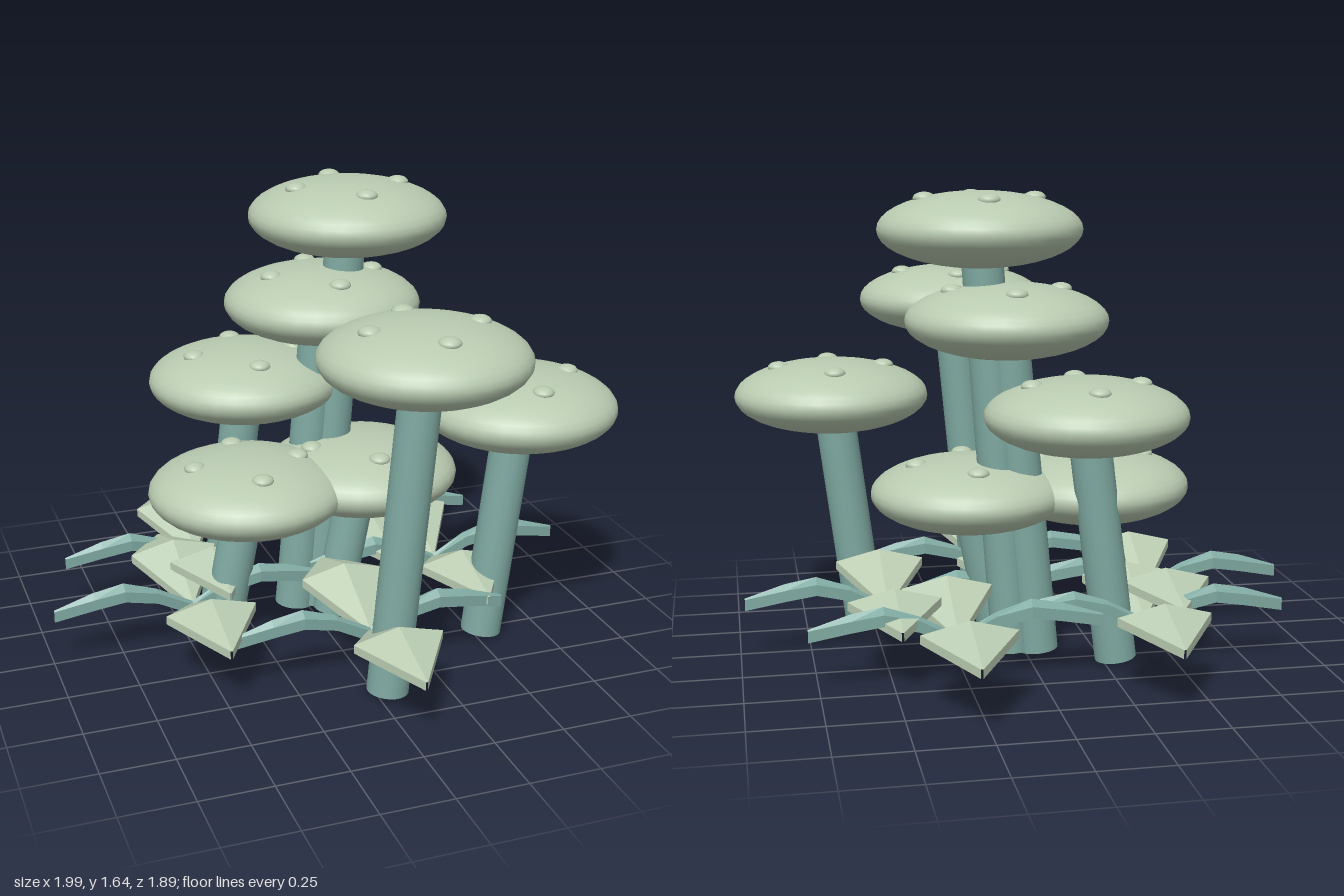
import * as THREE from 'three';

const pale = new THREE.MeshStandardMaterial({ color: 0xb9cbb1 });
pale.name = 'paleSage';
const teal = new THREE.MeshStandardMaterial({ color: 0x7fa9a1 });
teal.name = 'dustyTeal';
// faceted versions share the same colours
const paleFlat = new THREE.MeshStandardMaterial({ color: 0xb9cbb1, flatShading: true });
paleFlat.name = 'paleSageLeaf';
const tealFlat = new THREE.MeshStandardMaterial({ color: 0x7fa9a1, flatShading: true });
tealFlat.name = 'dustyTealLeaf';

// cap centres: x, y, z
const CAPS = [
  [0.155, 1.502, -0.145], [0.15, 1.19, 0.585], [0.065, 1.19, -0.16], [0.64, 0.875, 0.285],
  [-0.185, 0.875, -0.31], [-0.275, 0.565, 0], [0.18, 0.565, -0.055],
];
// leaf cluster centres: x, z
const CLUSTERS = [[0.285, -0.45], [-0.375, -0.39], [0.482, -0.055], [-0.495, 0.025], [0.035, 0.43]];

const CAP_R = 0.353, CAP_H = 0.131, LEAN = 0.11;

function add(parent, name, geometry, material) {
  const mesh = new THREE.Mesh(geometry, material);
  mesh.name = name;
  parent.add(mesh);
  return mesh;
}

// Bent, ridged leaf running along +z: sections of [z, ridge height, edge height, half width]
function leafGeometry(sections, thickness) {
  const pos = [], index = [];
  for (const [z, ridge, edge, w] of sections) {
    const t = thickness;
    pos.push(-w, edge, z, 0, ridge, z, w, edge, z, w, edge - t, z, 0, ridge - t, z, -w, edge - t, z);
  }
  for (let i = 0; i < sections.length - 1; i++) {
    for (let j = 0; j < 6; j++) {
      const a = i * 6 + j, b = i * 6 + (j + 1) % 6;
      index.push(a, a + 6, b + 6, a, b + 6, b);
    }
  }
  const g = new THREE.BufferGeometry();
  g.setAttribute('position', new THREE.Float32BufferAttribute(pos, 3));
  g.setIndex(index);
  g.computeVertexNormals();
  return g;
}

// Mushroom with a leaning stem, flattened cap and four low bumps
function mushroom([x, y, z]) {
  const group = new THREE.Group();
  group.name = 'mushroom';

  const bottom = new THREE.Vector3(x - LEAN, 0.008, z);
  const top = new THREE.Vector3(x, y, z);
  const axis = top.clone().sub(bottom);
  const stem = add(group, 'stem', new THREE.CylinderGeometry(0.073, 0.073, axis.length(), 24), teal);
  stem.position.copy(bottom).add(top).multiplyScalar(0.5);
  stem.quaternion.setFromUnitVectors(new THREE.Vector3(0, 1, 0), axis.normalize());

  const cap = add(group, 'cap', new THREE.SphereGeometry(1, 32, 20), pale);
  cap.scale.set(CAP_R, CAP_H, CAP_R);
  cap.position.copy(top);

  for (let i = 0; i < 4; i++) {
    const a = i * Math.PI / 2;
    const bump = add(group, 'capBump', new THREE.SphereGeometry(0.039, 16, 10), pale);
    bump.scale.y = 0.55;
    bump.position.set(x + 0.19 * Math.cos(a), y + 0.106, z + 0.19 * Math.sin(a));
  }
  return group;
}

export function createModel() {
  const model = new THREE.Group();
  model.name = 'mushroomCluster';

  for (const c of CAPS) model.add(mushroom(c));

  const broad = leafGeometry([[0, 0.16, 0.16, 0.005], [0.26, 0.3, 0.26, 0.16], [0.5, 0.22, 0.22, 0.004]], 0.03);
  const narrow = leafGeometry([
    [0, 0.17, 0.16, 0.012], [0.13, 0.24, 0.23, 0.022], [0.25, 0.28, 0.26, 0.032],
    [0.36, 0.26, 0.24, 0.02], [0.5, 0.215, 0.21, 0.004],
  ], 0.04);

  // Leaf clusters: broad leaves front and back, narrow ones to the sides
  for (const [x, z] of CLUSTERS) {
    const plant = new THREE.Group();
    plant.name = 'leafCluster';
    plant.position.set(x, 0, z);
    for (let i = 0; i < 4; i++) {
      const side = i % 2 === 1;
      const leaf = add(plant, side ? 'narrowLeaf' : 'broadLeaf', side ? narrow : broad, side ? tealFlat : paleFlat);
      leaf.rotation.y = i * Math.PI / 2;
    }
    model.add(plant);
  }
  return model;
}
